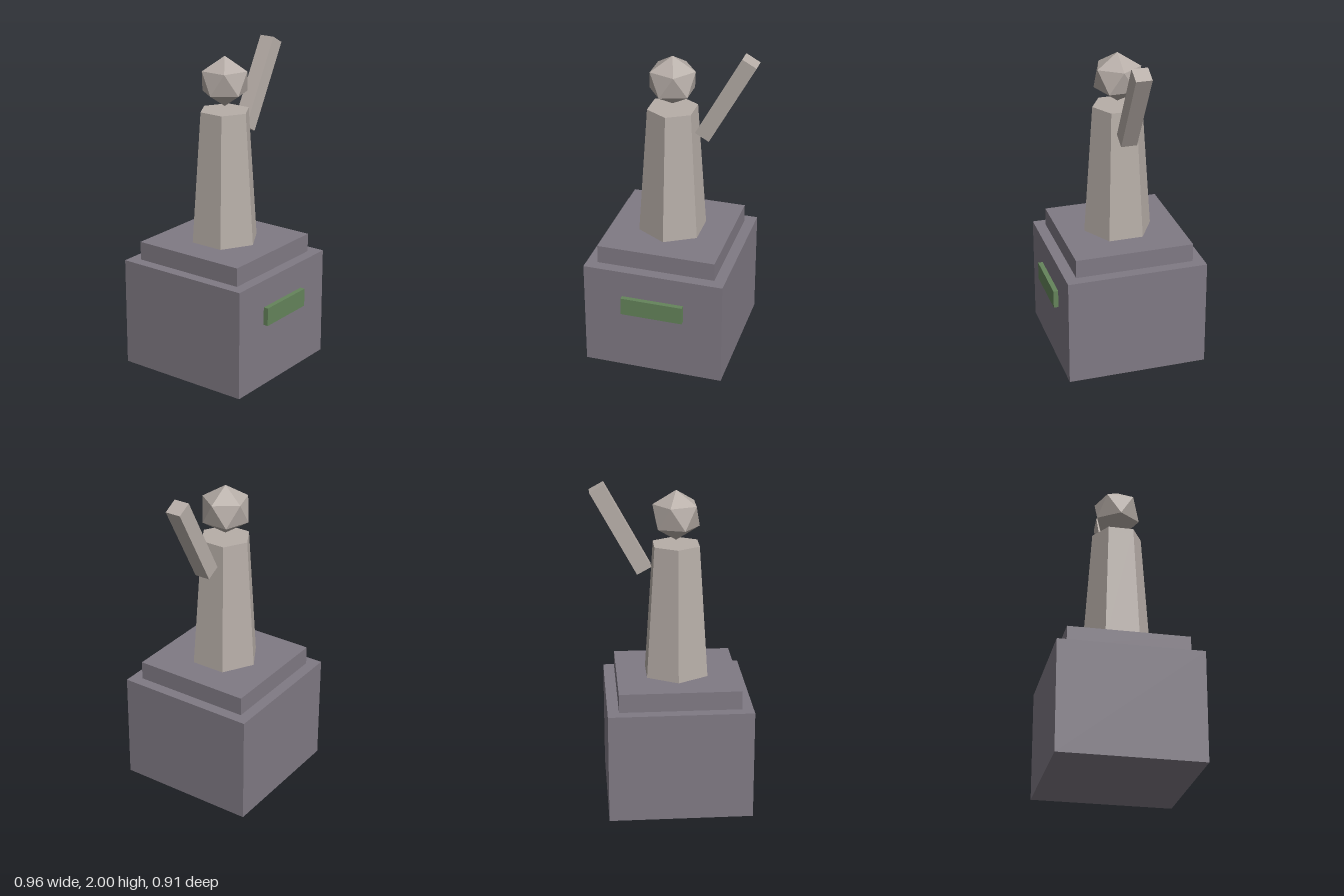
import * as THREE from 'three';

export function createModel() {
  const group = new THREE.Group();
  const material = (name, color) => {
    const m = new THREE.MeshStandardMaterial({ color, flatShading: true });
    m.name = name;
    return m;
  };
  const plinthStone = material('plinth stone', 0x807a84);
  const statueStone = material('statue stone', 0xb7aea8);
  const plaqueGreen = material('plaque green', 0x65845b);

  // Everything stands on one vertical axis
  const X = -0.04, Z = -0.017;
  const add = (name, geometry, mat, x, y, z) => {
    const mesh = new THREE.Mesh(geometry, mat);
    mesh.name = name;
    mesh.position.set(x, y, z);
    group.add(mesh);
    return mesh;
  };

  // Stepped pedestal
  add('pedestal', new THREE.BoxGeometry(0.88, 0.684, 0.88), plinthStone, X, 0.342, Z);
  add('pedestalStep', new THREE.BoxGeometry(0.742, 0.116, 0.742), plinthStone, X, 0.742, Z);

  // Plaque set into the front face
  add('plaque', new THREE.BoxGeometry(0.39, 0.114, 0.06), plaqueGreen, X, 0.454, 0.423);

  // Tapered six-sided body
  add('body', new THREE.CylinderGeometry(0.157, 0.215, 0.82, 6), statueStone, X, 1.21, Z);

  // Faceted head, turned so one corner points straight up
  const head = new THREE.IcosahedronGeometry(0.159, 0);
  head.rotateZ(-Math.atan(2 / (1 + Math.sqrt(5))));
  head.scale(1, 0.965, 1);
  add('head', head, statueStone, X, 1.797, Z);

  // Raised arm
  const arm = add('raisedArm', new THREE.BoxGeometry(0.098, 0.58, 0.098), statueStone, 0.295, 1.722, Z);
  arm.rotation.z = -0.5;

  return group;
}
